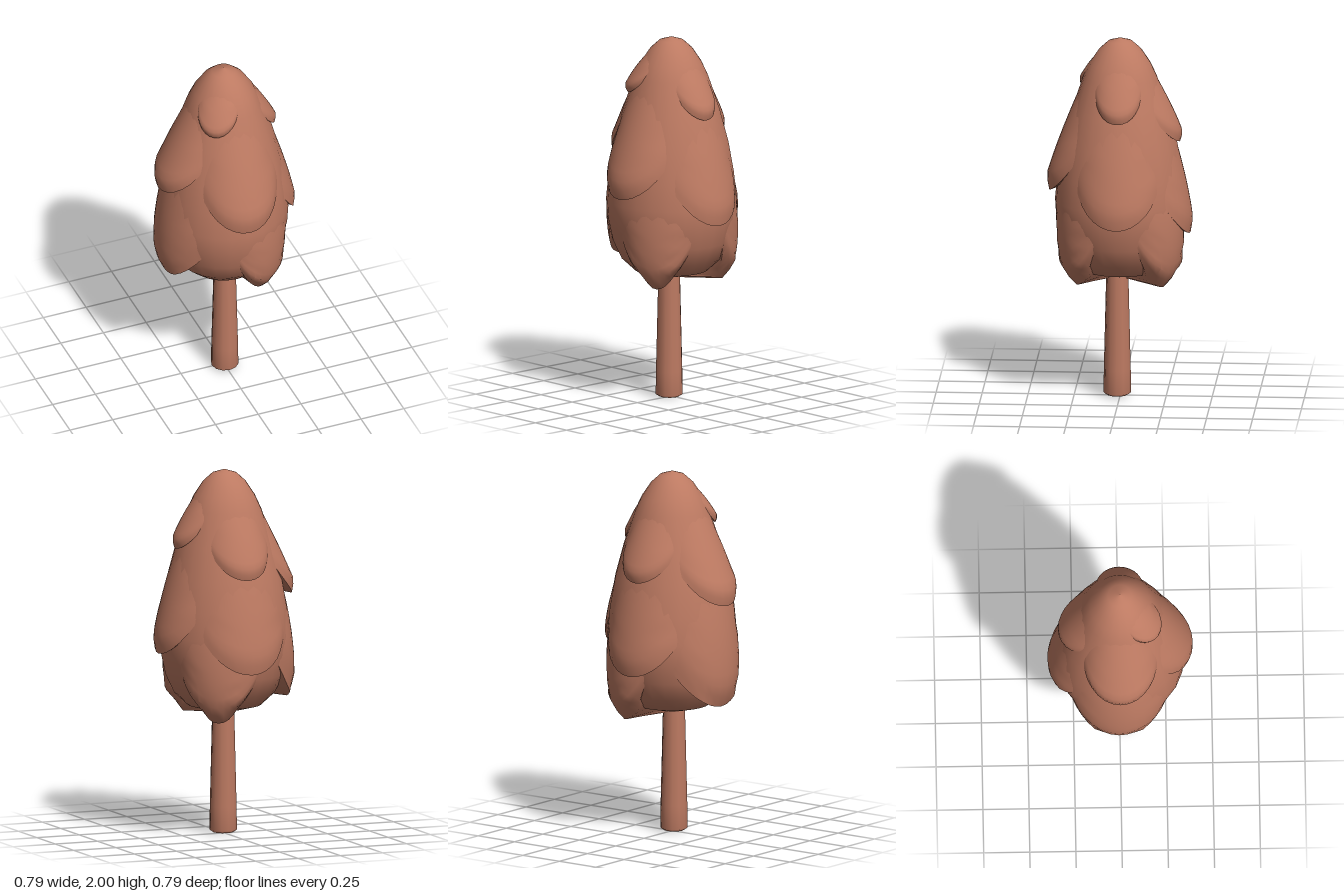
import * as THREE from 'three';
import { toCreasedNormals } from 'three/addons/utils/BufferGeometryUtils.js';

// Crown profile from bottom to top: radius, height
const PROFILE = [
  [0, 0.68], [0.1, 0.685], [0.2, 0.71], [0.275, 0.78], [0.322, 0.88], [0.348, 1.0], [0.354, 1.1],
  [0.34, 1.25], [0.31, 1.42], [0.262, 1.6], [0.202, 1.78], [0.165, 1.86], [0.115, 1.935], [0.065, 1.98], [0, 2.0],
];

// Crown radius at a height
function radiusAt(y) {
  for (let i = 1; i < PROFILE.length; i++) {
    const [r0, y0] = PROFILE[i - 1], [r1, y1] = PROFILE[i];
    if (y <= y1) return THREE.MathUtils.lerp(r0, r1, Math.max(0, (y - y0) / (y1 - y0)));
  }
  return 0;
}

// A bough: a wide patch that swells softly out of the crown, ends in a blunt rounded hem
// (drawn in by "nip") and folds back underneath
function boughGeometry({ angle, tip, top, radius, half, rise, bulge, nip }) {
  const cols = 16, rows = 12, positions = [], index = [];
  const skinAt = (y) => radiusAt(Math.max(y, 0.71));
  for (let j = 0; j <= rows + 1; j++) {
    const t = Math.min(1, j / rows);
    const yMid = THREE.MathUtils.lerp(top, tip, t);
    const outer = THREE.MathUtils.lerp(radiusAt(top) - 0.006, radius, Math.min(1, t / 0.86));
    const lift = outer + bulge * Math.sin(Math.PI * t) - nip * t ** 10 - skinAt(yMid);
    for (let i = 0; i <= cols; i++) {
      const a = (i / cols) * 2 - 1;
      const fade = (1 - a * a) ** 1.9;
      let y = THREE.MathUtils.lerp(top, tip + rise * a * a, t);
      let r = skinAt(y) + lift * fade - 0.012 * (1 - fade);
      if (j > rows) {
        y += 0.02;
        r = Math.min(r, radiusAt(y)) - 0.02;
      }
      const th = angle + a * half;
      positions.push(r * Math.cos(th), y, r * Math.sin(th));
    }
  }
  const n = cols + 1;
  for (let j = 0; j <= rows; j++) {
    for (let i = 0; i < cols; i++) {
      const p = j * n + i;
      index.push(p, p + 1, p + n, p + 1, p + n + 1, p + n);
    }
  }
  const g = new THREE.BufferGeometry();
  g.setAttribute('position', new THREE.Float32BufferAttribute(positions, 3));
  g.setIndex(index);
  return toCreasedNormals(g, 1.0);
}

export function createModel() {
  const model = new THREE.Group();
  model.name = 'tree';
  const clay = new THREE.MeshStandardMaterial({ color: 0xbd7a62 });
  clay.name = 'clay brown';
  const add = (name, geometry) => {
    const mesh = new THREE.Mesh(geometry, clay);
    mesh.name = name;
    model.add(mesh);
    return mesh;
  };
  const lathe = (points, sides) =>
    new THREE.LatheGeometry(points.map(([r, y]) => new THREE.Vector2(r, y)), sides);

  // Trunk
  add('trunk', lathe([[0, 0.003], [0.055, 0.007], [0.075, 0.02], [0.073, 0.15], [0.061, 0.65], [0.059, 0.72]], 12))
    .position.z = 0.016;

  // Crown
  add('crown', lathe(PROFILE, 24));

  // Boughs spiral down around the crown; angle runs from +x towards +z
  const P = Math.PI;
  const boughs = [
    { angle: 0.69 * P, tip: 1.7, top: 1.95, radius: 0.25, half: 0.9, rise: 0.2, bulge: 0.015, nip: 0.01 },
    { angle: 0, tip: 1.58, top: 1.9, radius: 0.297, half: 0.8, rise: 0.22, bulge: 0.01, nip: 0.01 },
    { angle: -0.5 * P, tip: 1.43, top: 1.8, radius: 0.337, half: 0.9, rise: 0.24, bulge: 0.008, nip: 0.01 },
    { angle: P, tip: 1.3, top: 1.82, radius: 0.395, half: 0.95, rise: 0.28, bulge: 0.005, nip: 0.012 },
    { angle: 0.5 * P, tip: 1.15, top: 1.75, radius: 0.398, half: 0.95, rise: 0.3, bulge: 0.01, nip: 0.012 },
    { angle: 0, tip: 1.01, top: 1.6, radius: 0.397, half: 0.88, rise: 0.3, bulge: 0.01, nip: 0.008 },
    { angle: -0.5 * P, tip: 0.92, top: 1.5, radius: 0.392, half: 0.95, rise: 0.3, bulge: 0.012, nip: 0.01 },
    // Lowest lobes
    { angle: 1.01 * P, tip: 0.74, top: 1.45, radius: 0.382, half: 1.0, rise: 0.27, bulge: 0.025, nip: 0.035 },
    { angle: P / 3, tip: 0.65, top: 1.15, radius: 0.325, half: 0.75, rise: 0.3, bulge: 0.02, nip: 0.06 },
    { angle: -P / 3, tip: 0.645, top: 1.2, radius: 0.34, half: 0.8, rise: 0.3, bulge: 0.025, nip: 0.06 },
  ];
  boughs.forEach((b, i) => add(`bough${i + 1}`, boughGeometry(b)));

  return model;
}
